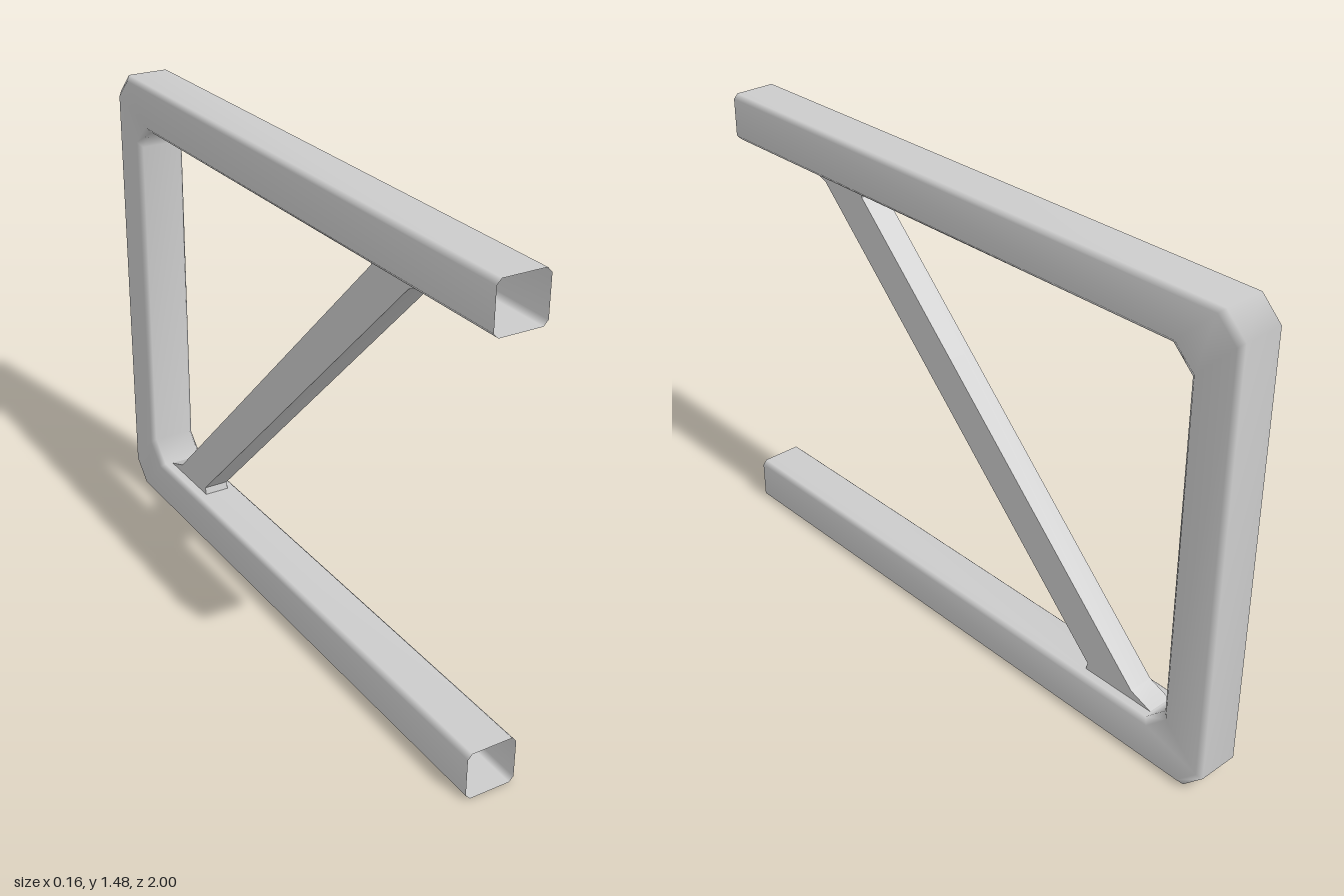
import * as THREE from 'three';
import { toCreasedNormals } from 'three/addons/utils/BufferGeometryUtils.js';

// Sweeps a section of [x, t] points between two [z, y] edge lines (t = 0 on inner, 1 on outer).
function sweep(inner, outer, section) {
  const pos = [], index = [], n = section.length;
  inner.forEach(([zi, yi], i) => {
    const [zo, yo] = outer[i];
    for (const [x, t] of section) pos.push(x, yi + (yo - yi) * t, zi + (zo - zi) * t);
  });
  for (let i = 0; i < inner.length - 1; i++) {
    for (let j = 0; j < n; j++) {
      const a = i * n + j, b = i * n + (j + 1) % n, c = a + n, d = b + n;
      index.push(a, c, b, b, c, d);
    }
  }
  const g = new THREE.BufferGeometry();
  g.setAttribute('position', new THREE.Float32BufferAttribute(pos, 3));
  g.setIndex(index);
  g.computeVertexNormals();
  return g;
}

export function createModel() {
  const group = new THREE.Group();
  const material = new THREE.MeshStandardMaterial({ color: 0xcccccc, side: THREE.DoubleSide });
  const add = (name, geometry) => {
    const mesh = new THREE.Mesh(geometry, material);
    mesh.name = name;
    group.add(mesh);
  };

  // U-shaped hollow frame, open at the front ends, with chamfered corners
  const w = 0.078, c = 0.014, t = 0.1;
  const section = [
    [-w + c, 0], [w - c, 0], [w, t], [w, 1 - t],
    [w - c, 1], [-w + c, 1], [-w, 1 - t], [-w, t],
  ];
  const outer = [[1, 1.475], [-0.935, 1.475], [-1, 1.41], [-1, 0.065], [-0.935, 0], [1, 0]];
  const inner = [[1, 1.328], [-0.785, 1.328], [-0.853, 1.262], [-0.853, 0.213], [-0.785, 0.147], [1, 0.147]];
  add('frame', sweep(inner, outer, section));

  // Diagonal brace with flared feet; the lower edge is the upper one turned half round
  const upper = [[0.43, 1.33], [0.435, 1.305], [-0.705, 0.175], [-0.785, 0.145]];
  const lower = upper.map(([z, y]) => [-0.1 - z, 1.475 - y]).reverse();
  const b = 0.04;
  const brace = sweep(lower, upper, [[-b, 0], [b, 0], [b, 1], [-b, 1]]);
  add('brace', toCreasedNormals(brace, 0.5));

  return group;
}
